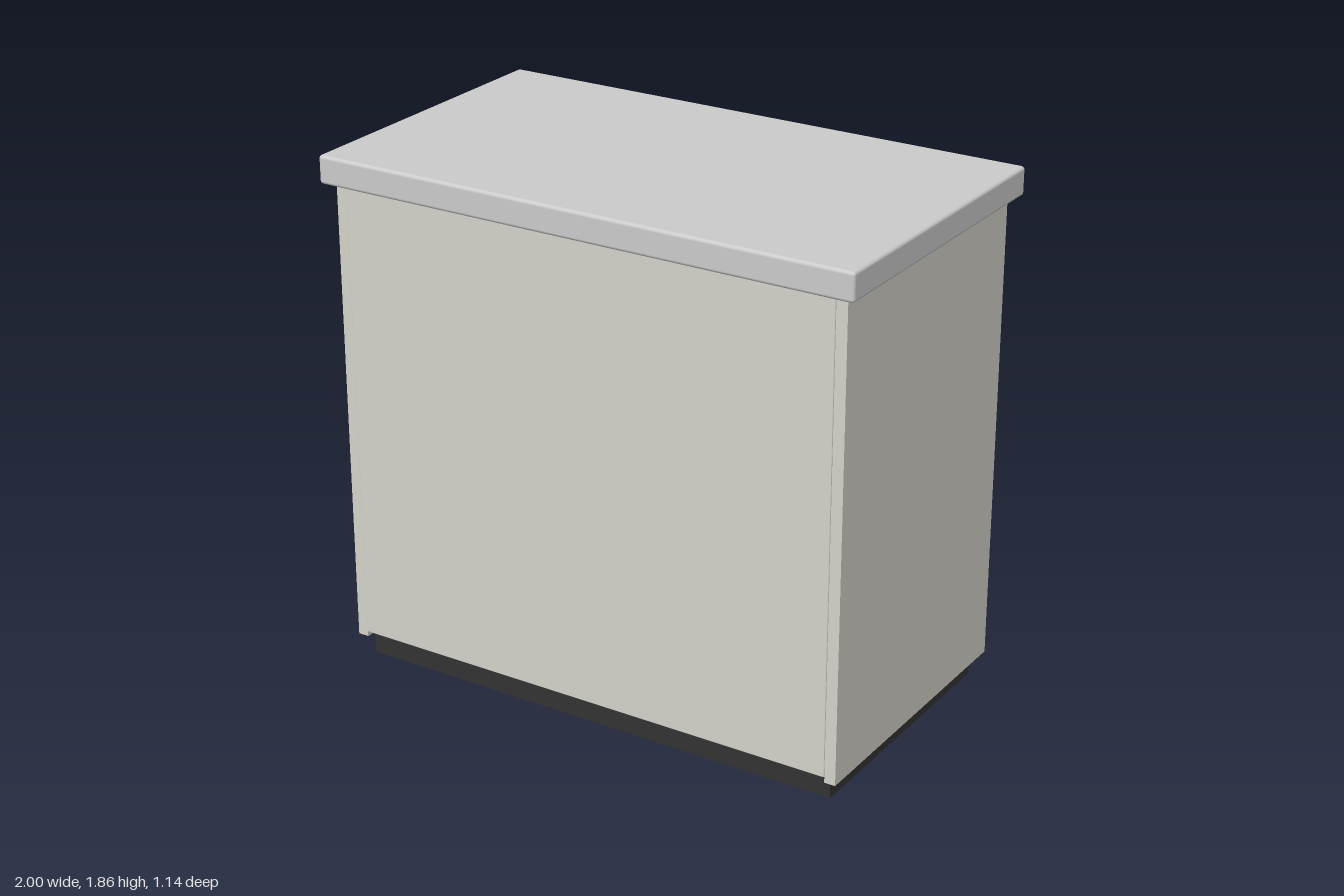
import * as THREE from 'three';
import { RoundedBoxGeometry } from 'three/addons/geometries/RoundedBoxGeometry.js';

const bodyMat = new THREE.MeshStandardMaterial({ color: 0xd4d3cb });
const topMat = new THREE.MeshStandardMaterial({ color: 0xd6d5d3 });
const plinthMat = new THREE.MeshStandardMaterial({ color: 0x333333 });

// Panel given by its min and max extents on each axis, optionally with eased edges
function panel(name, [x0, x1], [y0, y1], [z0, z1], material, radius = 0) {
  const size = [x1 - x0, y1 - y0, z1 - z0];
  const geometry = radius
    ? new RoundedBoxGeometry(...size, 3, radius)
    : new THREE.BoxGeometry(...size);
  const mesh = new THREE.Mesh(geometry, material);
  mesh.name = name;
  mesh.position.set((x0 + x1) / 2, (y0 + y1) / 2, (z0 + z1) / 2);
  return mesh;
}

export function createModel() {
  const counter = new THREE.Group();
  counter.name = 'counter';
  const inner = [-0.92, 0.92];

  counter.add(
    // Recessed base
    panel('plinth', inner, [0, 0.08], [-0.49, 0.49], plinthMat),
    // Carcass: two sides, floor, front and low back, open above at the back
    panel('leftSide', [0.92, 0.96], [0.08, 1.755], [-0.53, 0.53], bodyMat),
    panel('rightSide', [-0.96, -0.92], [0.08, 1.755], [-0.53, 0.53], bodyMat),
    panel('floor', inner, [0.08, 0.12], [-0.5, 0.5], bodyMat),
    panel('frontPanel', inner, [0.1, 1.75], [0.5, 0.535], bodyMat, 0.004),
    panel('lowerBackPanel', inner, [0.1, 0.68], [-0.53, -0.495], bodyMat),
    // Half-depth inner shelf
    panel('shelf', inner, [0.97, 1.01], [-0.45, 0.07], bodyMat),
    // Overhanging worktop
    panel('worktop', [-1, 1], [1.755, 1.855], [-0.57, 0.57], topMat, 0.012),
  );
  return counter;
}
